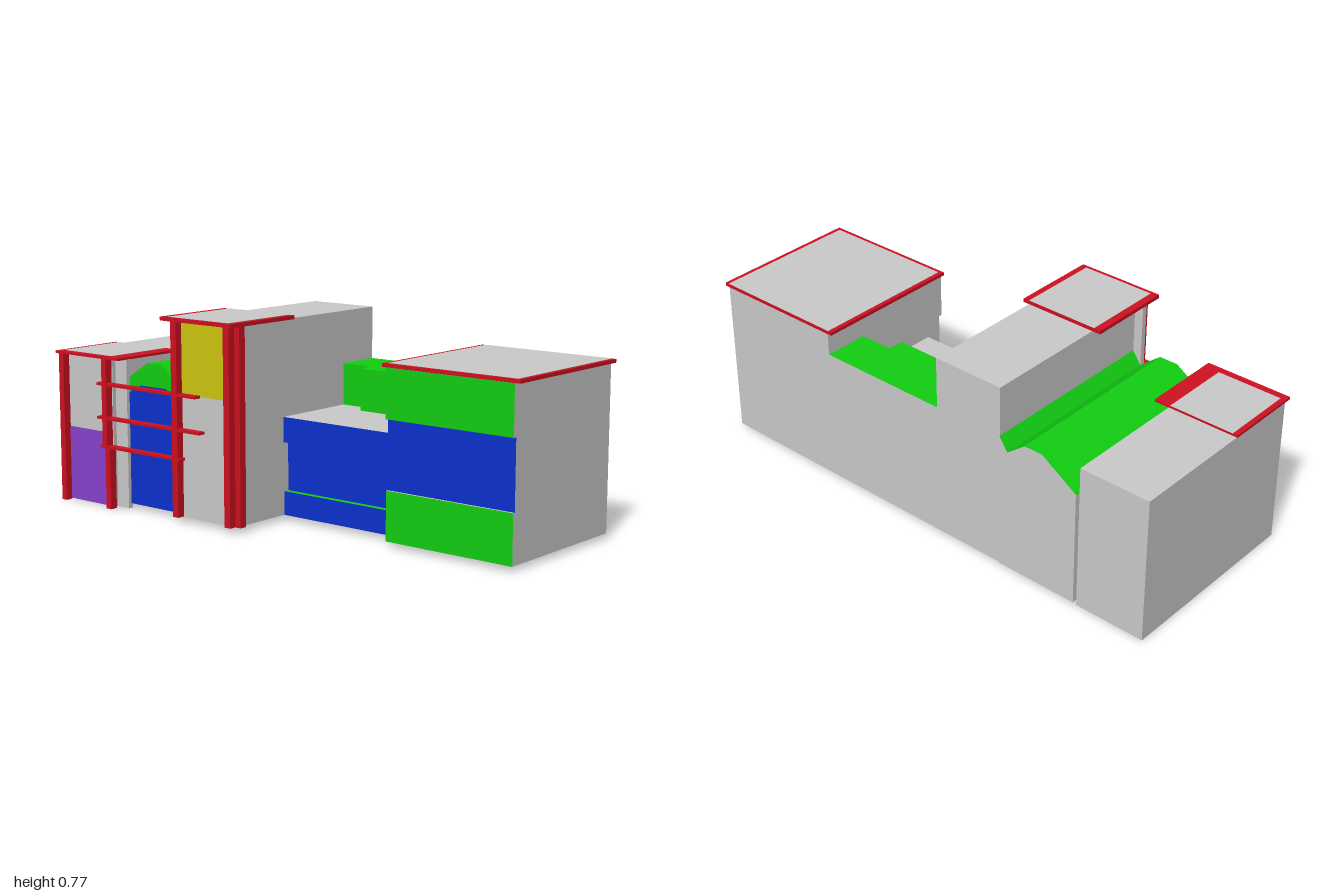
import * as THREE from 'three';

const mat = (color) => new THREE.MeshStandardMaterial({ color, flatShading: true });

export function createModel() {
  const model = new THREE.Group();
  const grey = mat(0xcccccc), red = mat(0xd01020), green = mat(0x12cf12);
  const blue = mat(0x0c30d0), yellow = mat(0xcfc710), purple = mat(0x8a42cf);

  const add = (name, geometry, material) => {
    const mesh = new THREE.Mesh(geometry, material);
    mesh.name = name;
    model.add(mesh);
    return mesh;
  };
  // Box given by its limits on each axis
  const box = (name, [x0, x1], [y0, y1], [z0, z1], material) => {
    const g = new THREE.BoxGeometry(x1 - x0, y1 - y0, z1 - z0);
    g.translate((x0 + x1) / 2, (y0 + y1) / 2, (z0 + z1) / 2);
    return add(name, g, material);
  };
  // Material list for a grey box with painted top and front
  const painted = (front, top = grey, side = grey) => [side, side, top, grey, front, grey];
  // Profile in x, y pushed along z
  const prism = (name, points, [z0, z1], material) => {
    const shape = new THREE.Shape(points.map(([x, y]) => new THREE.Vector2(x, y)));
    const g = new THREE.ExtrudeGeometry(shape, { depth: z1 - z0, bevelEnabled: false });
    g.translate(0, 0, z0);
    return add(name, g, material);
  };
  // Red roof slab with a grey panel that leaves a rim on the sides and front
  const roof = (name, [x0, x1], [y0, y1], [z0, z1], [left, right, front]) => {
    box(name, [x0, x1], [y0, y1], [z0, z1], red);
    box(name + 'Panel', [x0 + left, x1 - right], [y1 - 0.004, y1 + 0.001], [z0 + 0.001, z1 - front], grey);
  };

  // End tower
  box('endTower', [-0.998, -0.715], [0.003, 0.577], [-0.405, 0.372], grey);
  box('endTowerFin', [-0.715, -0.655], [0.003, 0.577], [0.335, 0.356], grey);
  box('endTowerDoor', [-0.958, -0.727], [0.004, 0.29], [0.36, 0.374], purple);
  roof('endTowerRoof', [-1, -0.655], [0.576, 0.585], [0.08, 0.4], [0.02, 0.065, 0.03]);
  for (const [x, y0, y1] of [[-0.968, 0, 0.577], [-0.732, 0.24, 0.577], [-0.718, 0, 0.24]])
    box('endTowerColumn', [x - 0.0125, x + 0.0125], [y0, y1], [0.372, 0.402], red);

  // Link block with a folded roof
  const roofLine = [[-0.375, 0.56], [-0.41, 0.51], [-0.487, 0.57], [-0.562, 0.57], [-0.71, 0.475]];
  prism('linkBlock', [[-0.71, 0.02], [-0.375, 0.02], ...roofLine.map(([x, y]) => [x, y - 0.002])],
    [-0.418, 0.335], grey);
  prism('linkRoof', [[-0.71, 0.44], [-0.375, 0.44], ...roofLine], [-0.417, 0.338], green);
  prism('linkFront', [[-0.71, 0.021], [-0.376, 0.021], [-0.376, 0.43], [-0.41, 0.452], [-0.465, 0.482],
    [-0.595, 0.482], [-0.655, 0.452], [-0.71, 0.43]], [0.33, 0.342], blue);

  // Bars that join the two towers
  for (const [y, x0, x1] of [[0.48, -0.77, -0.255], [0.35, -0.77, -0.235], [0.24, -0.755, -0.335]])
    box('linkingBar', [x0, x1], [y - 0.005, y + 0.005], [0.374, 0.404], red);

  // Middle tower
  box('middleTower', [-0.375, -0.085], [0.02, 0.751], [-0.414, 0.373], grey);
  box('middleTowerFin', [-0.41, -0.375], [0.02, 0.751], [0.325, 0.346], grey);
  box('middleTowerWindow', [-0.346, -0.114], [0.48, 0.75], [0.36, 0.375], yellow);
  roof('middleTowerRoof', [-0.41, -0.06], [0.751, 0.765], [0.077, 0.419], [0.028, 0.025, 0.014]);
  for (const x of [-0.36, -0.1])
    box('middleTowerColumn', [x - 0.014, x + 0.014], [0.022, 0.751], [0.373, 0.403], red);
  box('middleTowerSideColumn', [-0.085, -0.06], [0.022, 0.751], [0.346, 0.375], red);

  // Low wing in three bands, the middle one set back
  box('lowWingBase', [-0.085, 0.45], [0.02, 0.11], [-0.414, 0.108], painted(blue, green));
  box('lowWingMiddle', [-0.085, 0.45], [0.11, 0.295], [-0.414, 0.085], painted(blue));
  box('lowWingTop', [-0.085, 0.45], [0.295, 0.39], [-0.414, 0.11], painted(blue));
  box('upperStorey', [-0.085, 0.45], [0.39, 0.55], [-0.414, -0.238], painted(green, green, green));
  box('upperStoreyBay', [0.05, 0.315], [0.39, 0.55], [-0.24, -0.175], painted(green, green, green));

  // Large block with three painted bands
  for (const [y0, y1, z, color] of [[0.02, 0.202, 0.183, green], [0.202, 0.455, 0.174, blue], [0.455, 0.636, 0.188, green]])
    box('largeBlockBand', [0.45, 0.98], [y0, y1], [-0.414, z], painted(color));
  roof('largeBlockRoof', [0.433, 1], [0.636, 0.649], [-0.414, 0.187], [0.016, 0.016, 0.014]);

  return model;
}
